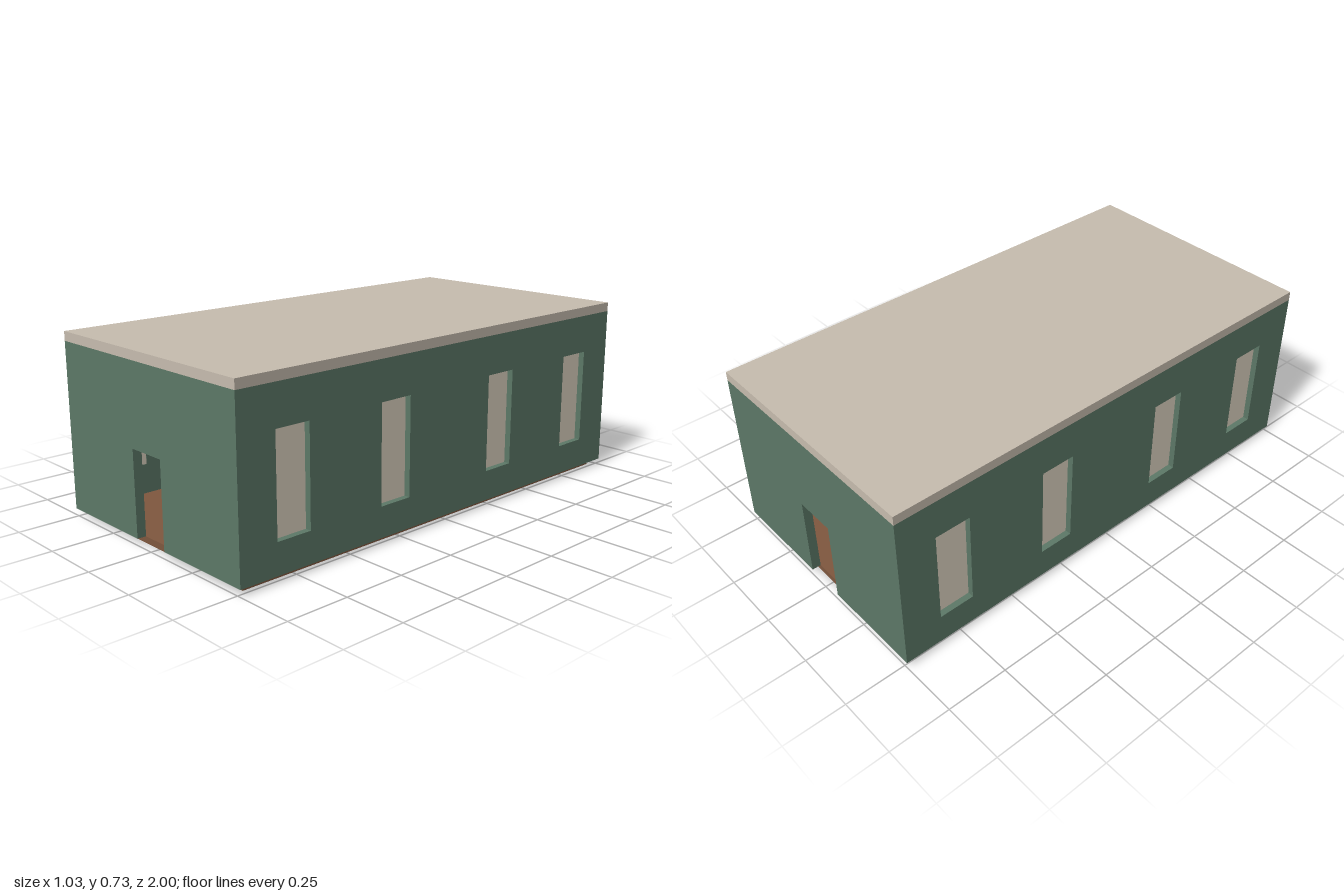
import * as THREE from 'three';

const W = 0.516, L = 1, T = 0.036;          // half width, half length, wall thickness
const BASE = 0.026, EAVE = 0.688, TOP = 0.725;
const DOOR = { half: 0.085, top: 0.365 };
const WIN = { half: 0.0725, bottom: 0.147, top: 0.533, centres: [-0.77, -0.29, 0.29, 0.77] };

const mat = (color) => new THREE.MeshStandardMaterial({ color, roughness: 0.9 });
const green = mat(0x5d7968), stone = mat(0xc8beb0), wood = mat(0x80583f), cream = mat(0xded4c2);

function box(name, material, w, h, d, x, y, z) {
  const mesh = new THREE.Mesh(new THREE.BoxGeometry(w, h, d), material);
  mesh.name = name;
  mesh.position.set(x, y, z);
  return mesh;
}

function rectangle(path, x0, y0, x1, y1) {
  return path.moveTo(x0, y0).lineTo(x1, y0).lineTo(x1, y1).lineTo(x0, y1).closePath();
}

function wall(name, shape) {
  const geo = new THREE.ExtrudeGeometry(shape, { depth: T, bevelEnabled: false });
  const mesh = new THREE.Mesh(geo, green);
  mesh.name = name;
  return mesh;
}

export function createModel() {
  const model = new THREE.Group();
  model.name = 'hall';

  // Floor slab and flat roof
  model.add(box('floor', wood, 2 * (W - T), BASE, 2 * (L - T), 0, BASE / 2, 0));
  model.add(box('roof', stone, 2 * W, TOP - EAVE, 2 * L, 0, (TOP + EAVE) / 2, 0));

  // End walls, each with a doorway open at the bottom
  for (const s of [1, -1]) {
    const d = DOOR.half;
    const shape = new THREE.Shape([
      [-W, BASE], [-d, BASE], [-d, DOOR.top], [d, DOOR.top],
      [d, BASE], [W, BASE], [W, EAVE], [-W, EAVE],
    ].map(([x, y]) => new THREE.Vector2(x, y)));
    const end = wall(s > 0 ? 'frontWall' : 'backWall', shape);
    end.position.z = s > 0 ? L - T : -L;
    model.add(end);
  }

  // Side walls with four recessed windows each
  for (const s of [1, -1]) {
    const side = s > 0 ? 'left' : 'right';
    const shape = rectangle(new THREE.Shape(), -(L - T), BASE, L - T, EAVE);
    for (const c of WIN.centres) {
      shape.holes.push(rectangle(new THREE.Path(), c - WIN.half, WIN.bottom, c + WIN.half, WIN.top));
      model.add(box(side + 'WindowPane', cream, 0.01, WIN.top - WIN.bottom, 2 * WIN.half,
        s * (W - T + 0.006), (WIN.top + WIN.bottom) / 2, c));
    }
    const sideWall = wall(side + 'Wall', shape);
    sideWall.rotation.y = Math.PI / 2;
    sideWall.position.x = s > 0 ? W - T : -W;
    model.add(sideWall);

    // Beam along the inside of the wall, above the windows
    model.add(box(side + 'WallBeam', stone, 0.04, 0.06, 2 * (L - T), s * (W - T - 0.02), 0.585, 0));
  }

  // Cross beams under the roof
  for (let i = -3; i <= 3; i++) {
    model.add(box('crossBeam', stone, 2 * (W - T), 0.05, 0.04, 0, 0.64, i * 0.26));
  }

  return model;
}
